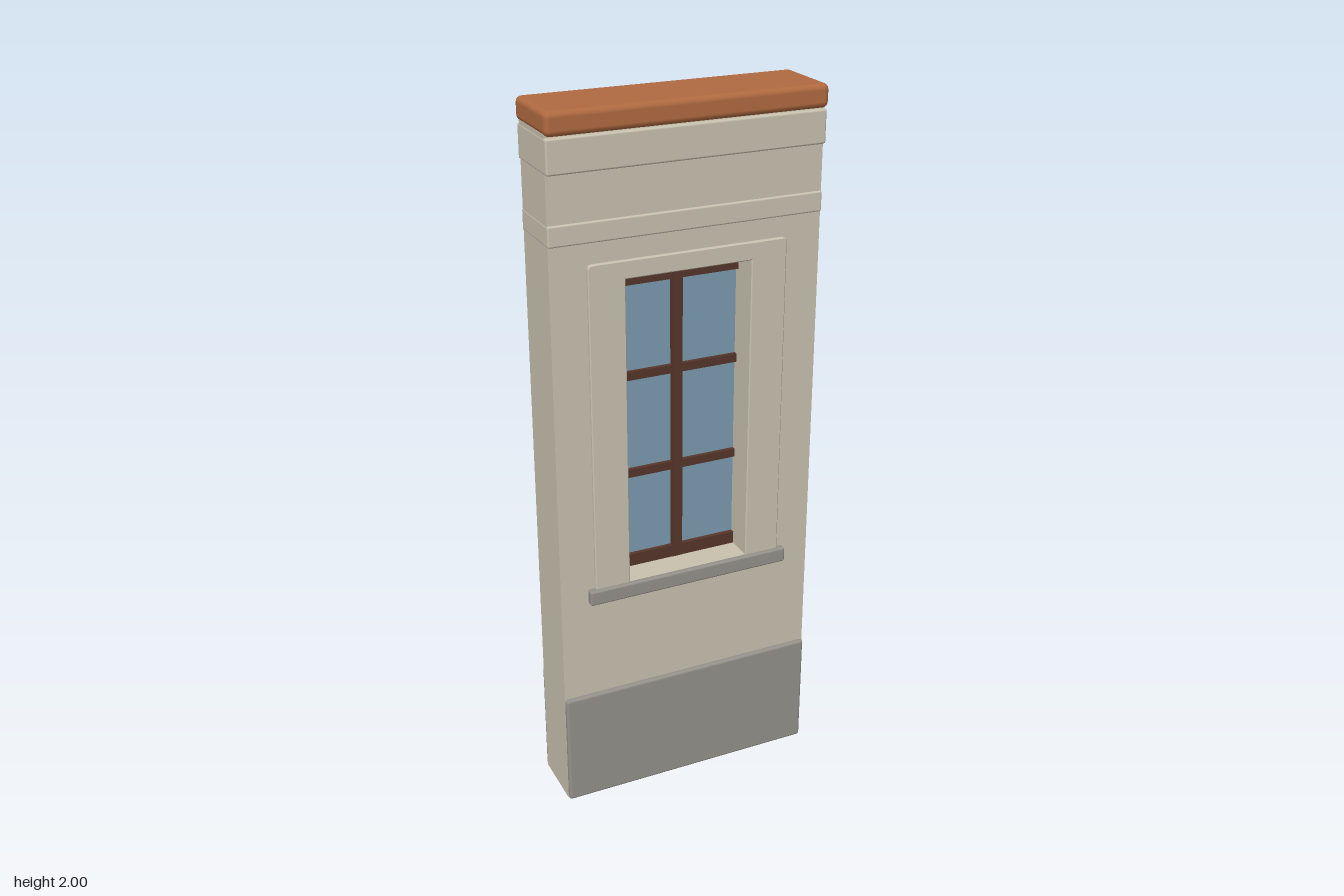
import * as THREE from 'three';
import { RoundedBoxGeometry } from 'three/addons/geometries/RoundedBoxGeometry.js';

function material(name, color) {
  const m = new THREE.MeshStandardMaterial({ color });
  m.name = name;
  return m;
}

// Rectangle outline; upper corners may be rounded
function rectangle(PathType, x, y0, y1, r = 0) {
  const p = new PathType();
  p.moveTo(-x, y0);
  p.lineTo(x, y0);
  p.lineTo(x, y1 - r);
  if (r) p.quadraticCurveTo(x, y1, x - r, y1);
  p.lineTo(-x + r, y1);
  if (r) p.quadraticCurveTo(-x, y1, -x, y1 - r);
  p.closePath();
  return p;
}

export function createModel() {
  const model = new THREE.Group();
  model.name = 'wallPanelWithWindow';
  const plaster = material('plaster', 0xc8c1af);
  const stone = material('greyStone', 0x94918a);
  const clay = material('terracotta', 0xb06a40);
  const wood = material('darkWood', 0x56352a);
  const glass = material('blueGlass', 0x7b9bb0);

  const add = (name, geometry, mat, x = 0, y = 0, z = 0) => {
    const mesh = new THREE.Mesh(geometry, mat);
    mesh.name = name;
    mesh.position.set(x, y, z);
    model.add(mesh);
    return mesh;
  };
  // Block centred on x and z, between two heights, with softened edges
  const block = (name, halfX, y0, y1, halfZ, radius, mat) =>
    add(name, new RoundedBoxGeometry(halfX * 2, y1 - y0, halfZ * 2, 2, radius), mat, 0, (y0 + y1) / 2);

  // Wall with window opening
  const wallShape = rectangle(THREE.Shape, 0.38, 0.002, 1.945);
  wallShape.holes.push(rectangle(THREE.Path, 0.178, 0.685, 1.56));
  const wall = new THREE.ExtrudeGeometry(wallShape, { depth: 0.17, bevelEnabled: false });
  add('wall', wall.translate(0, 0, -0.085), plaster);

  // Horizontal courses, showing on both faces
  block('plinth', 0.379, 0, 0.343, 0.098, 0.008, stone);
  block('stringCourse', 0.381, 1.665, 1.72, 0.091, 0.005, plaster);
  block('frieze', 0.381, 1.845, 1.935, 0.099, 0.006, plaster);
  block('coping', 0.383, 1.938, 2, 0.107, 0.016, clay);

  // Window surround and sill on each face
  const surroundShape = rectangle(THREE.Shape, 0.28, 0.67, 1.61, 0.015);
  surroundShape.holes.push(rectangle(THREE.Path, 0.178, 0.685, 1.56));
  const surround = new THREE.ExtrudeGeometry(surroundShape, {
    depth: 0.008, bevelThickness: 0.003, bevelSize: 0.003, bevelOffset: -0.003, bevelSegments: 1,
  });
  const sill = new RoundedBoxGeometry(0.6, 0.044, 0.03, 2, 0.006);
  for (const [side, s] of [['front', 1], ['back', -1]]) {
    add(side + 'Surround', surround, plaster, 0, 0, s * 0.083).rotation.y = s > 0 ? 0 : Math.PI;
    add(side + 'Sill', sill, stone, 0, 0.662, s * 0.091);
  }

  // Glazing and wooden bars
  add('glass', new THREE.BoxGeometry(0.356, 0.875, 0.008), glass, 0, 1.1225, 0);
  const bar = (name, w, h, d, y) => add(name, new THREE.BoxGeometry(w, h, d), wood, 0, y, 0);
  bar('mullion', 0.03, 0.875, 0.036, 1.1225);
  bar('bottomRail', 0.356, 0.036, 0.034, 0.703);
  bar('topRail', 0.356, 0.046, 0.034, 1.537);
  for (const y of [0.973, 1.26]) bar('transom', 0.356, 0.024, 0.032, y);

  return model;
}
